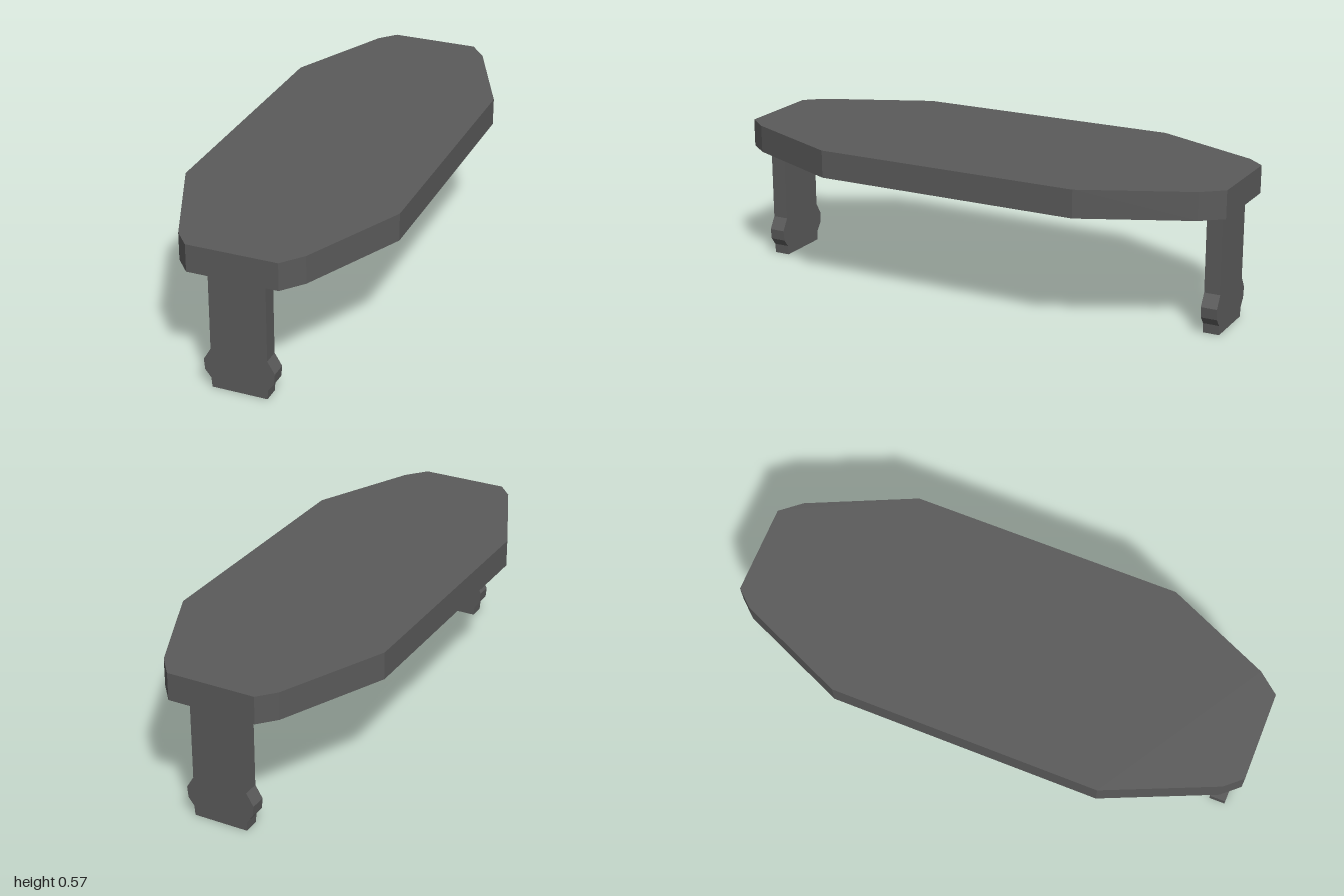
import * as THREE from 'three';

const charcoal = new THREE.MeshStandardMaterial({ color: 0x5a5a5a });
charcoal.name = 'charcoal';

const CENTRE = -0.004; // legs and end edges sit slightly off the middle

function extrude(points, depth) {
  const shape = new THREE.Shape(points.map(([x, y]) => new THREE.Vector2(x, y)));
  return new THREE.ExtrudeGeometry(shape, { depth, bevelEnabled: false });
}

// Elongated top with tapered, chamfered ends
function makeTop() {
  const end = [[0.415, 0.52], [0.234, 0.92], [0.168, 1], [-0.176, 1], [-0.234, 0.935], [-0.415, 0.52]];
  const outline = [...end, ...end.map(([x, z]) => [x, -z]).reverse()];
  const geometry = extrude(outline, 0.106);
  geometry.rotateX(-Math.PI / 2);
  const top = new THREE.Mesh(geometry, charcoal);
  top.name = 'tableTop';
  top.position.y = 0.467;
  return top;
}

// Flat slab leg with a flared foot
function makeLeg(name, z) {
  const side = [[0.106, 0], [0.109, 0.037], [0.132, 0.067], [0.136, 0.108], [0.108, 0.155], [0.108, 0.468]];
  const outline = [...side, ...side.map(([x, y]) => [-x, y]).reverse()];
  const leg = new THREE.Mesh(extrude(outline, 0.062), charcoal);
  leg.name = name;
  leg.position.set(CENTRE, 0, z - 0.031);
  return leg;
}

export function createModel() {
  const table = new THREE.Group();
  table.name = 'table';
  table.add(makeTop(), makeLeg('frontLeg', 0.936), makeLeg('backLeg', -0.935));
  return table;
}
